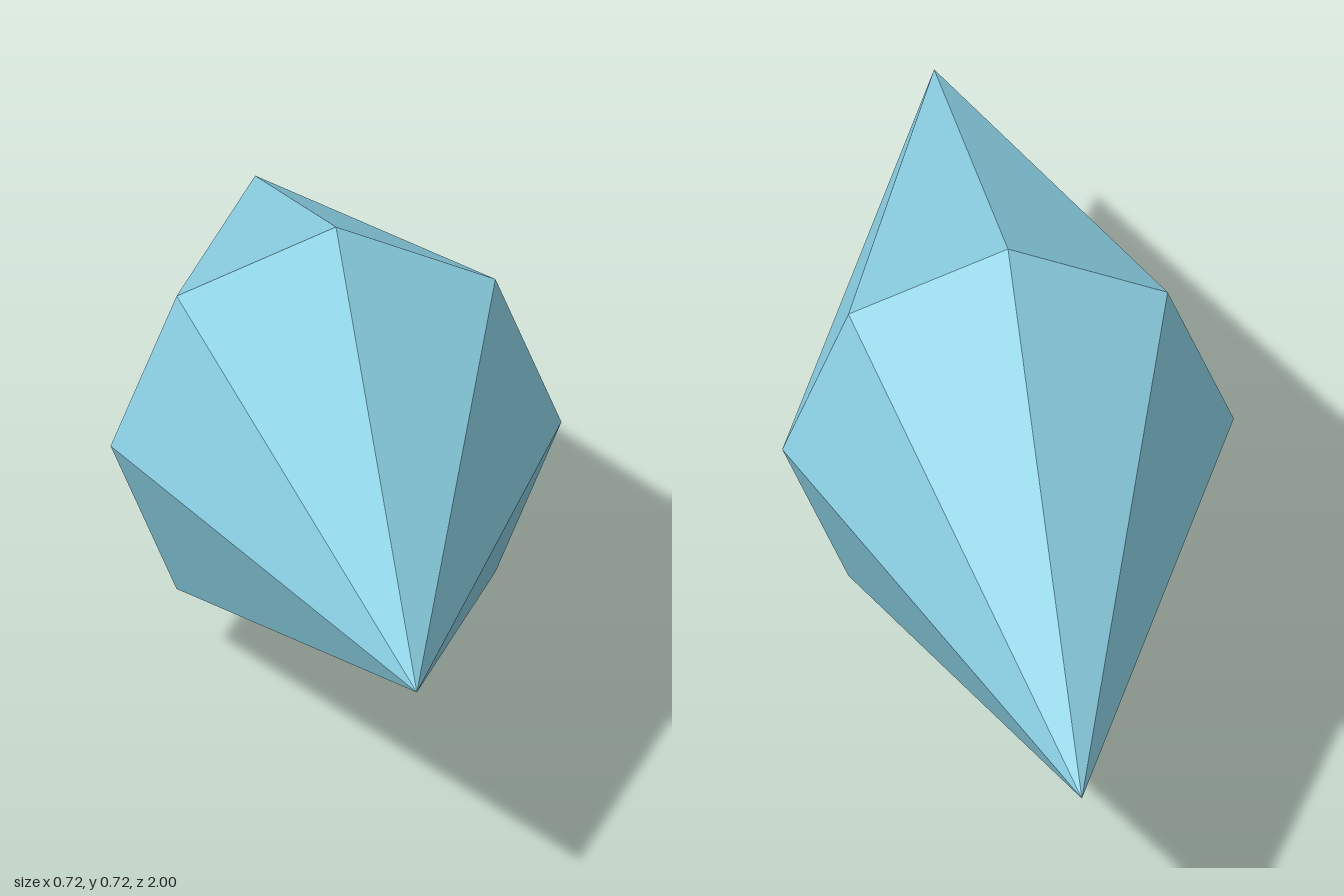
import * as THREE from 'three';

const RADIUS = 0.36;
const HALF_LENGTH = 1;
const SIDES = 8;

export function createModel() {
  const group = new THREE.Group();
  group.name = 'crystal';

  const iceBlue = new THREE.MeshStandardMaterial({ color: 0x88cce0 });
  iceBlue.name = 'ice blue';
  iceBlue.flatShading = true;

  // Two open eight-sided points meet base to base at the widest ring
  for (const [name, dir] of [['frontPoint', 1], ['backPoint', -1]]) {
    const geometry = new THREE.ConeGeometry(RADIUS, HALF_LENGTH, SIDES, 1, true);
    geometry.translate(0, HALF_LENGTH / 2, 0);
    geometry.rotateX(dir * Math.PI / 2);
    const point = new THREE.Mesh(geometry, iceBlue);
    point.name = name;
    point.position.y = RADIUS;
    group.add(point);
  }

  return group;
}
